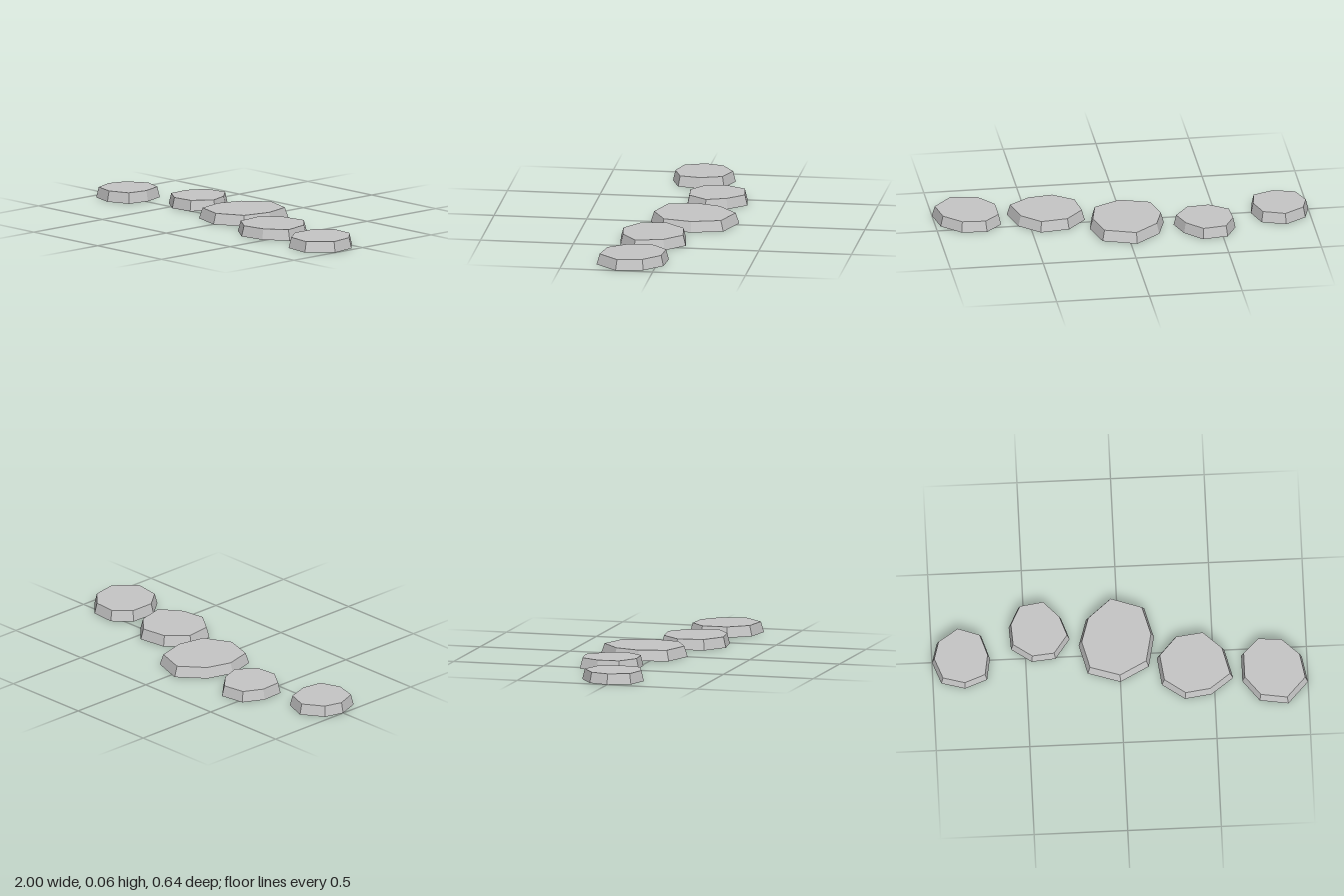
import * as THREE from 'three';

const HEIGHT = 0.057;
const TAPER = 0.92; // top outline relative to the base
const SIDES = 8;

// Base outlines as [x, z], clockwise seen from above, starting at the back
const outlines = [
  [[-0.855, -0.18], [-0.73, -0.135], [-0.69, -0.01], [-0.71, 0.11], [-0.83, 0.155], [-0.955, 0.12], [-1, 0], [-0.97, -0.105]],
  [[-0.39, -0.31], [-0.3, -0.215], [-0.26, -0.1], [-0.34, 0.008], [-0.467, 0.02], [-0.575, -0.055], [-0.582, -0.18], [-0.525, -0.29]],
  [[-0.033, -0.318], [0.145, -0.257], [0.19, -0.09], [0.155, 0.075], [0, 0.155], [-0.172, 0.1], [-0.213, -0.06], [-0.168, -0.205]],
  [[0.455, -0.1], [0.562, 0], [0.602, 0.16], [0.482, 0.248], [0.34, 0.267], [0.22, 0.182], [0.2, 0.03], [0.3, -0.08]],
  [[0.738, -0.05], [0.873, -0.04], [0.973, 0.055], [1, 0.2], [0.89, 0.318], [0.738, 0.295], [0.65, 0.182], [0.65, 0.035]],
];

// An eight-sided cylinder whose rim vertices are moved onto the outline
function stoneGeometry(outline, cx, cz) {
  const geometry = new THREE.CylinderGeometry(1, 1, HEIGHT, SIDES).toNonIndexed();
  const pos = geometry.attributes.position;
  for (let i = 0; i < pos.count; i++) {
    const x = pos.getX(i), y = pos.getY(i), z = pos.getZ(i);
    if (Math.hypot(x, z) < 0.5) continue; // cap centres stay put
    // clockwise steps from the back
    const step = Math.round(Math.atan2(x, -z) / (2 * Math.PI / SIDES));
    const [px, pz] = outline[(step + SIDES) % SIDES];
    const scale = y > 0 ? TAPER : 1;
    pos.setXYZ(i, (px - cx) * scale, y, (pz - cz) * scale);
  }
  geometry.computeVertexNormals(); // unshared vertices give flat facets
  return geometry;
}

export function createModel() {
  const group = new THREE.Group();
  group.name = 'steppingStones';
  const stone = new THREE.MeshStandardMaterial({ color: 0xc6c6c6 });
  stone.name = 'stone grey';

  outlines.forEach((outline, i) => {
    const cx = outline.reduce((sum, p) => sum + p[0], 0) / SIDES;
    const cz = outline.reduce((sum, p) => sum + p[1], 0) / SIDES;
    const mesh = new THREE.Mesh(stoneGeometry(outline, cx, cz), stone);
    mesh.name = `steppingStone${i + 1}`;
    mesh.position.set(cx, HEIGHT / 2, cz);
    group.add(mesh);
  });
  return group;
}
